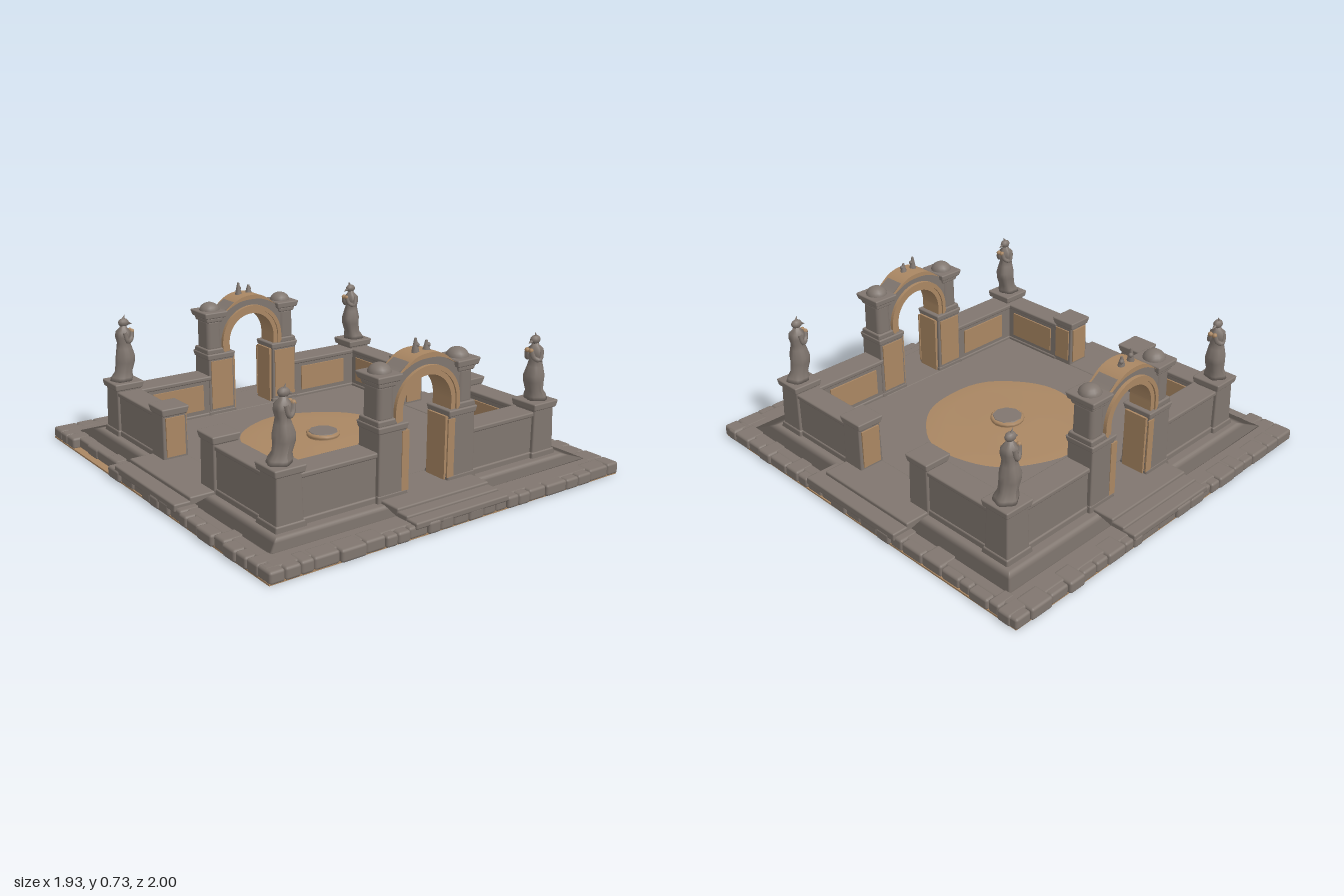
import * as THREE from 'three';
import { RoundedBoxGeometry } from 'three/addons/geometries/RoundedBoxGeometry.js';

const stone = new THREE.MeshStandardMaterial({ color: 0x80766f });
stone.name = 'grey stone';
const sand = new THREE.MeshStandardMaterial({ color: 0xaa8763 });
sand.name = 'sandy stone';

let seed = 7;
const rand = () => (seed = (seed * 16807) % 2147483647) / 2147483647;

function add(parent, name, geo, mat, x = 0, y = 0, z = 0) {
  const m = new THREE.Mesh(geo, mat);
  m.name = name;
  m.position.set(x, y, z);
  parent.add(m);
  return m;
}

// Soft-edged block between two corners; grow widens (or narrows) its foot
function block(parent, name, mat, [x0, x1], [y0, y1], [z0, z1], grow = 0, r = 0.007) {
  const w = x1 - x0, h = y1 - y0, d = z1 - z0;
  const g = new RoundedBoxGeometry(w, h, d, 2, Math.min(r, w * 0.45, h * 0.45, d * 0.45));
  const p = g.attributes.position;
  for (let i = 0; i < p.count; i++) {
    const k = grow * (0.5 - p.getY(i) / h);
    p.setX(i, p.getX(i) * (1 + 2 * k / w));
    p.setZ(i, p.getZ(i) * (1 + 2 * k / d));
  }
  return add(parent, name, g, mat, (x0 + x1) / 2, (y0 + y1) / 2, (z0 + z1) / 2);
}

const plate = (parent, name, x, y, z) => add(parent, name,
  new THREE.BoxGeometry(x[1] - x[0], y[1] - y[0], z[1] - z[0]), sand,
  (x[0] + x[1]) / 2, (y[0] + y[1]) / 2, (z[0] + z[1]) / 2);

// Worn terrace with a border of uneven stones
function makeTerrace() {
  const g = new THREE.Group();
  g.name = 'terrace';
  plate(g, 'underside', [-0.95, 0.95], [0, 0.008], [-0.985, 0.985]);
  block(g, 'slab', stone, [-0.915, 0.915], [0.004, 0.056], [-0.96, 0.96], 0, 0.01);
  block(g, 'ground', stone, [-0.79, 0.79], [0.05, 0.075], [-0.79, 0.79], 0.1);
  block(g, 'courtFloor', stone, [-0.7, 0.7], [0.06, 0.086], [-0.68, 0.68]);
  for (const s of [-1, 1]) {
    for (let t = -0.96; t < 0.95;) {
      const n = Math.min(0.055 + rand() * 0.07, 0.96 - t), e = 0.965 - rand() * 0.02;
      const inset = s < 0 && t < -0.35 && t > -0.8 ? 0.04 : 0;
      block(g, 'sideBorderStone', stone, s > 0 ? [0.85, e] : [-e + inset, -0.85],
        [0.002, 0.053 + rand() * 0.006], [t, t + n], 0, 0.012);
      t += n;
    }
    for (let t = -0.95; t < 0.94;) {
      const n = Math.min(0.055 + rand() * 0.07, 0.955 - t), e = 1 - rand() * 0.012;
      block(g, 'endBorderStone', stone, [t, t + n], [0.002, 0.053 + rand() * 0.006],
        s > 0 ? [0.9, e] : [-e, -0.9], 0, 0.012);
      t += n;
    }
    // Three shallow steps at each gate, two at each side opening
    [[0.99, 0.066], [0.93, 0.076], [0.87, 0.088]].forEach(([e, y]) =>
      block(g, 'gateStep', stone, [-0.255, 0.25], [0.04, y], s > 0 ? [0.6, e] : [-e, -0.6], 0.006));
    [[0.955, 0.074], [0.88, 0.09]].forEach(([e, y]) =>
      block(g, 'sideStep', stone, s > 0 ? [0.64, e] : [-e, -0.64], [0.04, y], [-0.28, s > 0 && e > 0.9 ? 0.32 : 0.28], 0.004));
  }
  return g;
}

// Round sandy patch with a low plinth in the middle
function makeCentre() {
  const g = new THREE.Group();
  g.name = 'courtCentre';
  const pts = [[0.4, 0.08], [0.395, 0.088], [0.3, 0.09], [0.15, 0.094], [0.1, 0.097], [0, 0.097]].map(p => new THREE.Vector2(...p));
  const geo = new THREE.LatheGeometry(pts, 48);
  const p = geo.attributes.position;
  for (let i = 0; i < p.count; i++) {
    const a = Math.atan2(p.getZ(i), p.getX(i)), k = 1 + 0.014 * Math.sin(3 * a + 1) + 0.01 * Math.sin(7 * a);
    p.setX(i, p.getX(i) * k);
    p.setZ(i, p.getZ(i) * k);
  }
  add(g, 'sandPatch', geo, sand).material = sand;
  const rim = [[0.085, 0.09], [0.075, 0.098], [0.082, 0.106], [0.082, 0.116], [0.074, 0.122], [0, 0.122]];
  add(g, 'plinth', new THREE.LatheGeometry(rim.map(q => new THREE.Vector2(...q)), 16), sand);
  add(g, 'plinthTop', new THREE.CylinderGeometry(0.07, 0.074, 0.006, 9), stone, 0, 0.122, 0);
  return g;
}

// Arched gate, built around z = 0 with the court on -z
function makeGate() {
  const g = new THREE.Group();
  g.name = 'gate';
  for (const s of [-1, 1]) {
    const X = (a, b) => s > 0 ? [a, b] : [-b, -a];
    block(g, 'pierFoot', stone, X(0.115, 0.268), [0.06, 0.105], [-0.075, 0.075], 0.01);
    block(g, 'pier', stone, X(0.12, 0.262), [0.08, 0.38], [-0.07, 0.07], 0.004);
    block(g, 'pierCap', stone, X(0.11, 0.272), [0.37, 0.402], [-0.078, 0.078], -0.006);
    plate(g, 'jamb', X(0.105, 0.122), [0.087, 0.375], [-0.058, 0.058]);
    plate(g, 'courtFacing', X(0.13, 0.252), [0.115, 0.365], [-0.076, -0.068]);
    plate(g, 'outerFacing', X(0.108, 0.145), [0.1, 0.365], [0.068, 0.075]);
    block(g, 'columnFoot', stone, X(0.168, 0.265), [0.398, 0.425], [-0.065, 0.065], 0.004);
    block(g, 'column', stone, X(0.178, 0.256), [0.41, 0.575], [-0.055, 0.055], 0.002, 0.02);
    block(g, 'columnCap', stone, X(0.165, 0.265), [0.56, 0.585], [-0.065, 0.065], -0.006);
    block(g, 'cornice', stone, X(0.148, 0.28), [0.582, 0.615], [-0.08, 0.08], -0.008);
    add(g, 'dome', new THREE.SphereGeometry(0.052, 16, 6, 0, Math.PI * 2, 0, Math.PI / 2),
      stone, s * 0.212, 0.61, 0).scale.y = 0.85;
  }
  // Wall around the arch with a swept crest
  const wall = new THREE.Shape();
  wall.moveTo(0.19, 0.4).lineTo(0.19, 0.605);
  wall.bezierCurveTo(0.12, 0.61, 0.11, 0.67, 0, 0.67);
  wall.bezierCurveTo(-0.11, 0.67, -0.12, 0.61, -0.19, 0.605);
  wall.lineTo(-0.19, 0.4).lineTo(-0.14, 0.4).lineTo(-0.14, 0.445);
  wall.absarc(0, 0.445, 0.14, Math.PI, 0, true);
  wall.lineTo(0.14, 0.4);
  const slice = (name, shape, depth, mat) => add(g, name,
    new THREE.ExtrudeGeometry(shape, { depth, bevelEnabled: false, curveSegments: 24 }), mat, 0, 0, -depth / 2);
  slice('archWall', wall, 0.1, stone);
  const band = (r0, r1, foot) => {
    const b = new THREE.Shape();
    b.moveTo(r1, foot).lineTo(r1, 0.445).absarc(0, 0.445, r1, 0, Math.PI, false);
    b.lineTo(-r1, foot).lineTo(-r0, foot).lineTo(-r0, 0.445);
    b.absarc(0, 0.445, r0, Math.PI, 0, true).lineTo(r0, foot);
    return b;
  };
  slice('archBand', band(0.133, 0.158, 0.4), 0.118, sand);
  slice('archMoulding', band(0.156, 0.176, 0.4), 0.134, sand);
  // Crest strip and broken finials
  const crest = new THREE.Shape();
  crest.moveTo(0.15, 0.608).bezierCurveTo(0.11, 0.63, 0.09, 0.674, 0, 0.674);
  crest.bezierCurveTo(-0.09, 0.674, -0.11, 0.63, -0.15, 0.608);
  crest.bezierCurveTo(-0.09, 0.64, -0.07, 0.652, 0, 0.652);
  crest.bezierCurveTo(0.07, 0.652, 0.09, 0.64, 0.15, 0.608);
  slice('crest', crest, 0.125, sand);
  for (const [x, h] of [[-0.033, 0.062], [0.027, 0.045]]) {
    add(g, 'finial', new THREE.CylinderGeometry(0.005, 0.018, h, 7), stone, x, 0.668 + h / 2, 0.01);
    add(g, 'finialKnob', new THREE.SphereGeometry(0.011, 8, 6), stone, x + 0.006, 0.67 + h * 0.5, 0.014);
  }
  return g;
}

// Leaning robed figure; it faces -x, towards the middle
function makeStatue() {
  const g = new THREE.Group();
  g.name = 'statue';
  const lean = y => 0.016 * Math.cos(y * 14) - 0.012 * Math.sin(y * 22);
  const pts = [[0, 0], [0.052, 0], [0.05, 0.02], [0.04, 0.045], [0.045, 0.09], [0.046, 0.12], [0.036, 0.16],
    [0.03, 0.185], [0.036, 0.215], [0.034, 0.24], [0.018, 0.258], [0.014, 0.27], [0, 0.275]];
  const robe = new THREE.LatheGeometry(pts.map(p => new THREE.Vector2(...p)), 20);
  const p = robe.attributes.position;
  for (let i = 0; i < p.count; i++) {
    const y = p.getY(i), a = Math.atan2(p.getZ(i), p.getX(i));
    const k = 1 + 0.08 * Math.sin(5 * a + y * 20);
    p.setX(i, p.getX(i) * k + lean(y));
    p.setZ(i, p.getZ(i) * k);
  }
  robe.computeVertexNormals();
  add(g, 'robe', robe, stone);
  add(g, 'head', new THREE.SphereGeometry(0.021, 12, 8), stone, -0.01, 0.283, 0).scale.set(1.3, 1, 0.95);
  const hood = add(g, 'hoodPeak', new THREE.ConeGeometry(0.012, 0.04, 7), stone, -0.012, 0.302, 0.004);
  hood.rotation.z = 0.35;
  const face = add(g, 'face', new THREE.ConeGeometry(0.013, 0.035, 7), stone, -0.038, 0.276, 0);
  face.rotation.z = 1.9;
  for (const s of [-1, 1]) {
    const path = new THREE.CatmullRomCurve3([[0, 0.24, s * 0.03], [-0.012, 0.195, s * 0.036],
      [-0.036, 0.205, s * 0.022], [-0.046, 0.24, s * 0.012]].map(q => new THREE.Vector3(...q)));
    add(g, 'arm', new THREE.TubeGeometry(path, 10, 0.011, 7), stone);
    add(g, 'hand', new THREE.SphereGeometry(0.012, 8, 6), sand, -0.046, 0.238, s * 0.012);
  }
  return g;
}

// One corner of the enclosure at +x, +z
function makeCorner() {
  const g = new THREE.Group();
  g.name = 'wallCorner';
  block(g, 'pedestalFoot', stone, [0.63, 0.77], [0.055, 0.1], [0.62, 0.76], 0.01);
  block(g, 'pedestal', stone, [0.64, 0.76], [0.08, 0.31], [0.63, 0.75], 0.006);
  block(g, 'pedestalCap', stone, [0.624, 0.776], [0.298, 0.333], [0.614, 0.766], -0.006);
  block(g, 'gateWall', stone, [0.25, 0.66], [0.05, 0.28], [0.62, 0.735], 0.004);
  block(g, 'gateWallFoot', stone, [0.25, 0.66], [0.055, 0.1], [0.612, 0.745], 0.006);
  block(g, 'gateWallCap', stone, [0.25, 0.66], [0.268, 0.291], [0.61, 0.745]);
  plate(g, 'gateWallPanel', [0.3, 0.58], [0.12, 0.25], [0.612, 0.619]);
  block(g, 'sideWall', stone, [0.645, 0.75], [0.05, 0.28], [0.27, 0.66], 0.004);
  block(g, 'sideWallFoot', stone, [0.637, 0.758], [0.055, 0.1], [0.27, 0.66], 0.006);
  block(g, 'sideWallCap', stone, [0.638, 0.758], [0.268, 0.291], [0.27, 0.66]);
  plate(g, 'sideWallPanel', [0.637, 0.644], [0.12, 0.25], [0.31, 0.58]);
  block(g, 'endPost', stone, [0.643, 0.762], [0.05, 0.31], [0.168, 0.28], 0.004);
  block(g, 'endPostCap', stone, [0.632, 0.772], [0.293, 0.331], [0.152, 0.292], -0.008);
  plate(g, 'endPostFacing', [0.655, 0.75], [0.1, 0.285], [0.16, 0.168]);
  plate(g, 'endPostCourtFacing', [0.635, 0.643], [0.11, 0.28], [0.18, 0.268]);
  const statue = makeStatue();
  statue.position.set(0.692, 0.331, 0.69);
  g.add(statue);
  return g;
}

export function createModel() {
  const model = new THREE.Group();
  model.name = 'walledCourt';
  model.add(makeTerrace(), makeCentre());
  for (const sz of [-1, 1]) {
    const gate = makeGate();
    gate.position.z = sz * 0.685;
    gate.scale.z = sz;
    model.add(gate);
    for (const sx of [-1, 1]) {
      const corner = makeCorner();
      corner.scale.set(sx, 1, sz);
      model.add(corner);
    }
  }
  return model;
}
